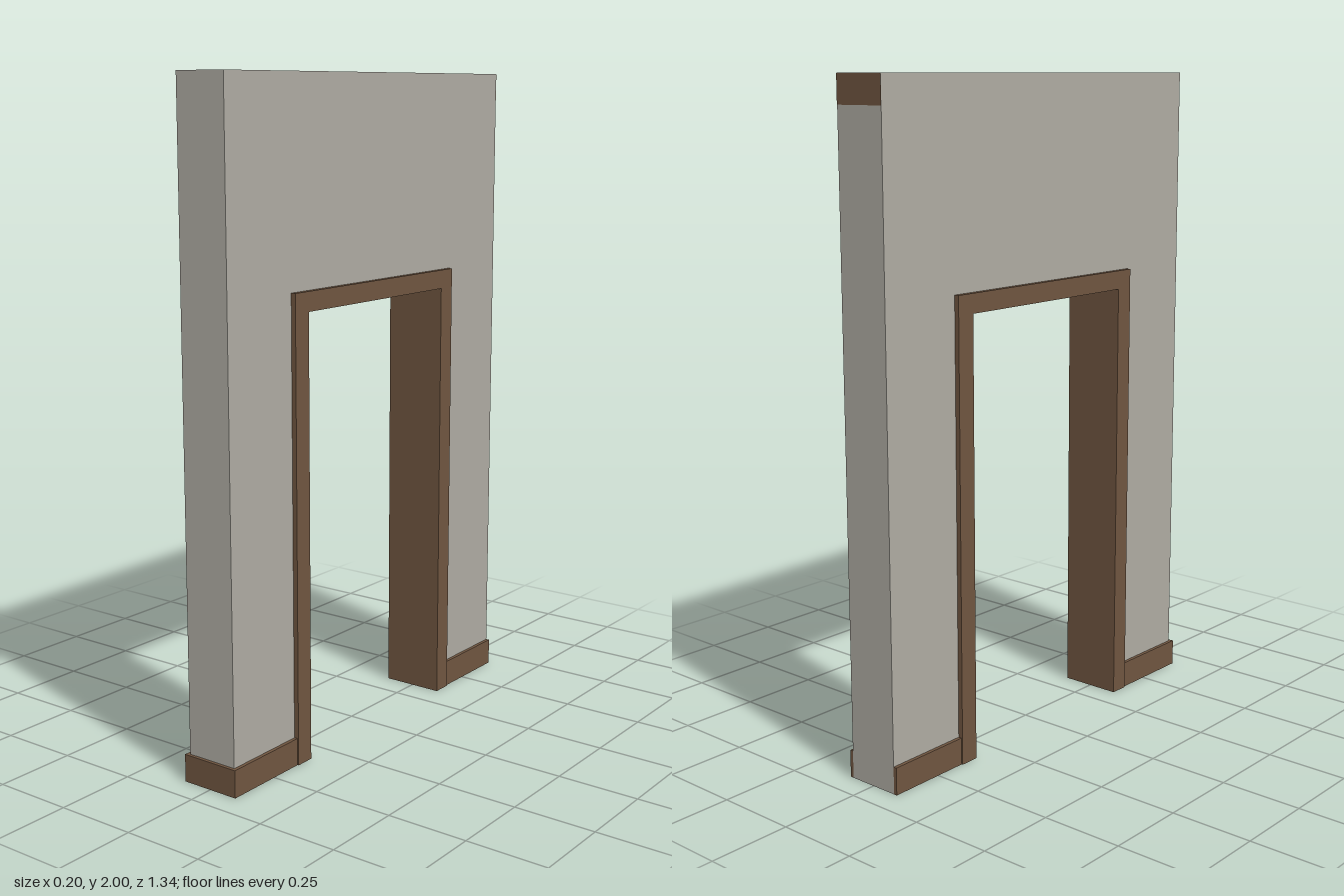
import * as THREE from 'three';

const plaster = new THREE.MeshStandardMaterial({ color: 0xaeaba2 });
plaster.name = 'grey plaster';
const wood = new THREE.MeshStandardMaterial({ color: 0x6f5540 });
wood.name = 'brown wood';

// Extrudes a [z, y] outline across x, centred on x = 0
function slab(name, points, width, material) {
  const shape = new THREE.Shape(points.map(([z, y]) => new THREE.Vector2(z, y)));
  const geometry = new THREE.ExtrudeGeometry(shape, { depth: width, bevelEnabled: false });
  geometry.translate(0, 0, -width / 2).rotateY(-Math.PI / 2);
  const mesh = new THREE.Mesh(geometry, material);
  mesh.name = name;
  return mesh;
}

// Box given by its lower and upper bounds
function block(name, [x0, x1], [y0, y1], [z0, z1], material) {
  const mesh = new THREE.Mesh(new THREE.BoxGeometry(x1 - x0, y1 - y0, z1 - z0), material);
  mesh.position.set((x0 + x1) / 2, (y0 + y1) / 2, (z0 + z1) / 2);
  mesh.name = name;
  return mesh;
}

export function createModel() {
  const group = new THREE.Group();
  const halfWall = 0.083, halfSkirt = 0.094, skirtTop = 0.083;
  const front = 0.662, back = -0.67;

  // Wall with doorway; hollow foot, with the rear face running down to the ground
  group.add(slab('wall', [
    [back, 0], [back + 0.003, 0], [back + 0.003, skirtTop - 0.005],
    [-0.37, skirtTop - 0.005], [-0.37, 1.365], [0.36, 1.365],
    [0.36, skirtTop - 0.005], [front, skirtTop - 0.005], [front, 2], [back, 2],
  ], halfWall * 2, plaster));

  // Door lining, slightly proud of both wall faces
  group.add(slab('doorFrame', [
    [-0.4, 0], [-0.34, 0], [-0.34, 1.338], [0.332, 1.338],
    [0.332, 0], [0.392, 0], [0.392, 1.396], [-0.4, 1.396],
  ], 0.196, wood));

  // Skirting boards on both sides of each wall leg
  for (const side of [-1, 1]) {
    const xs = side > 0 ? [halfWall, halfSkirt] : [-halfSkirt, -halfWall];
    group.add(block('frontLegSkirting', xs, [0, skirtTop], [0.39, 0.672], wood));
    group.add(block('backLegSkirting', xs, [0, skirtTop], [back, -0.398], wood));
  }

  // Skirting across the front end, and the strip at the top of the back end
  group.add(block('frontEndSkirting', [-halfWall, halfWall], [0, skirtTop], [front, 0.672], wood));
  group.add(block('backTopStrip', [-halfWall, halfWall], [1.917, 1.9995], [back - 0.001, back + 0.001], wood));

  return group;
}
